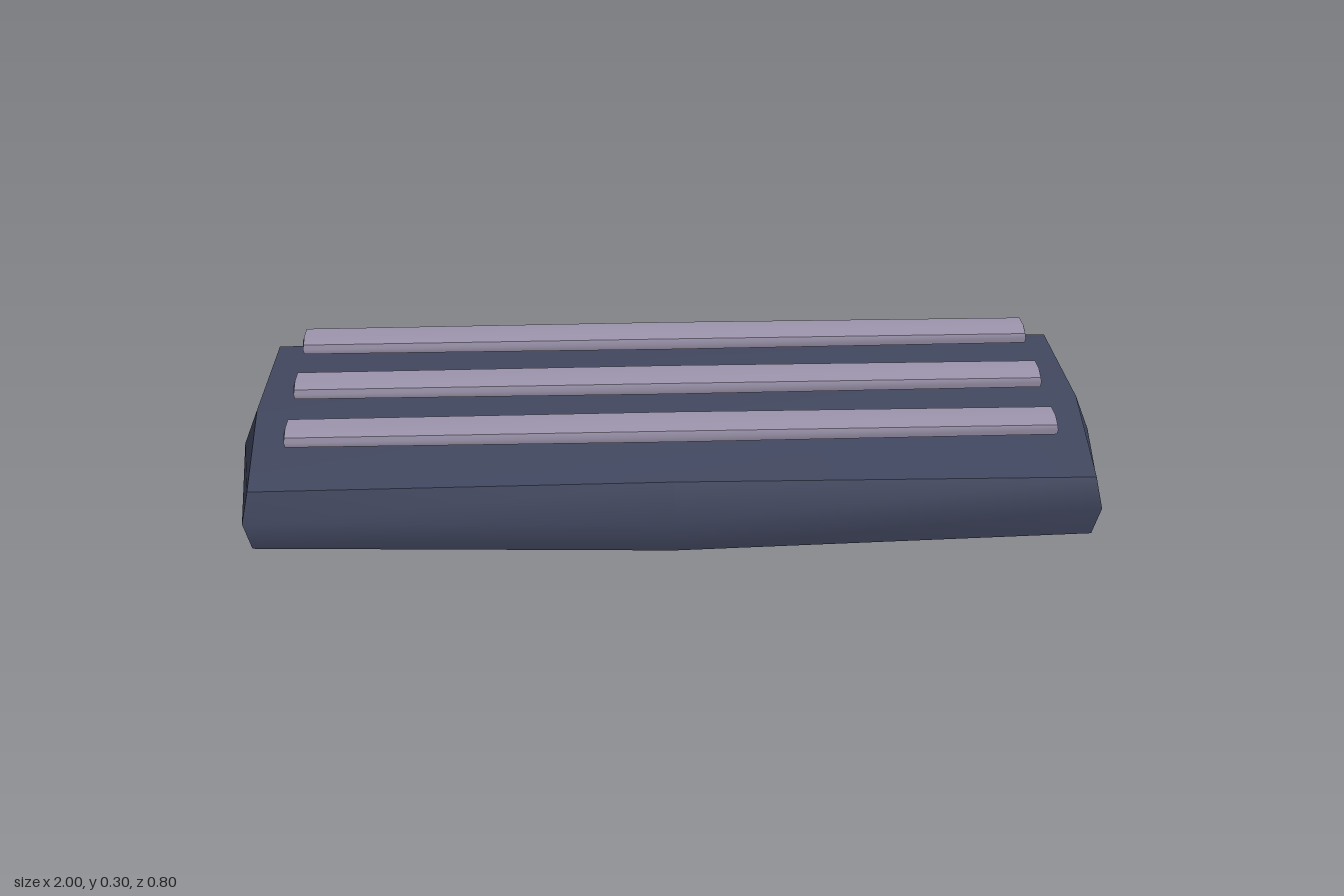
import * as THREE from 'three';

// Box whose face centres bulge: edges and corners are drawn in as by a corner radius.
function pillowBox(w, h, d, r) {
  const geo = new THREE.BoxGeometry(2, 2, 2, 2, 2, 2);
  const half = [w / 2, h / 2, d / 2];
  const inset = [0, 0, r * (1 - Math.SQRT1_2), r * (1 - 1 / Math.sqrt(3))];
  const pos = geo.attributes.position;
  for (let i = 0; i < pos.count; i++) {
    const s = [pos.getX(i), pos.getY(i), pos.getZ(i)].map(Math.round);
    const sides = s.filter((v) => v !== 0).length;
    pos.setXYZ(i, ...s.map((v, k) => v * (half[k] - inset[sides])));
  }
  geo.computeVertexNormals(); // smooth within a face, sharp between faces
  return geo;
}

export function createModel() {
  const model = new THREE.Group();
  model.name = 'slattedBlock';

  const slate = new THREE.MeshStandardMaterial({ color: 0x424860 });
  slate.name = 'slate';
  const mauve = new THREE.MeshStandardMaterial({ color: 0x9d95ad });
  mauve.name = 'mauve grey';

  // Heavy body
  const body = new THREE.Mesh(pillowBox(2, 0.25, 0.8, 0.12), slate);
  body.name = 'body';
  body.position.y = 0.125;
  model.add(body);

  // Three slats hovering just above the body
  const slatGeometry = pillowBox(1.75, 0.037, 0.098, 0.015);
  ['backSlat', 'middleSlat', 'frontSlat'].forEach((name, i) => {
    const slat = new THREE.Mesh(slatGeometry, mauve);
    slat.name = name;
    slat.position.set(0, 0.277, (i - 1) * 0.225);
    model.add(slat);
  });

  return model;
}
